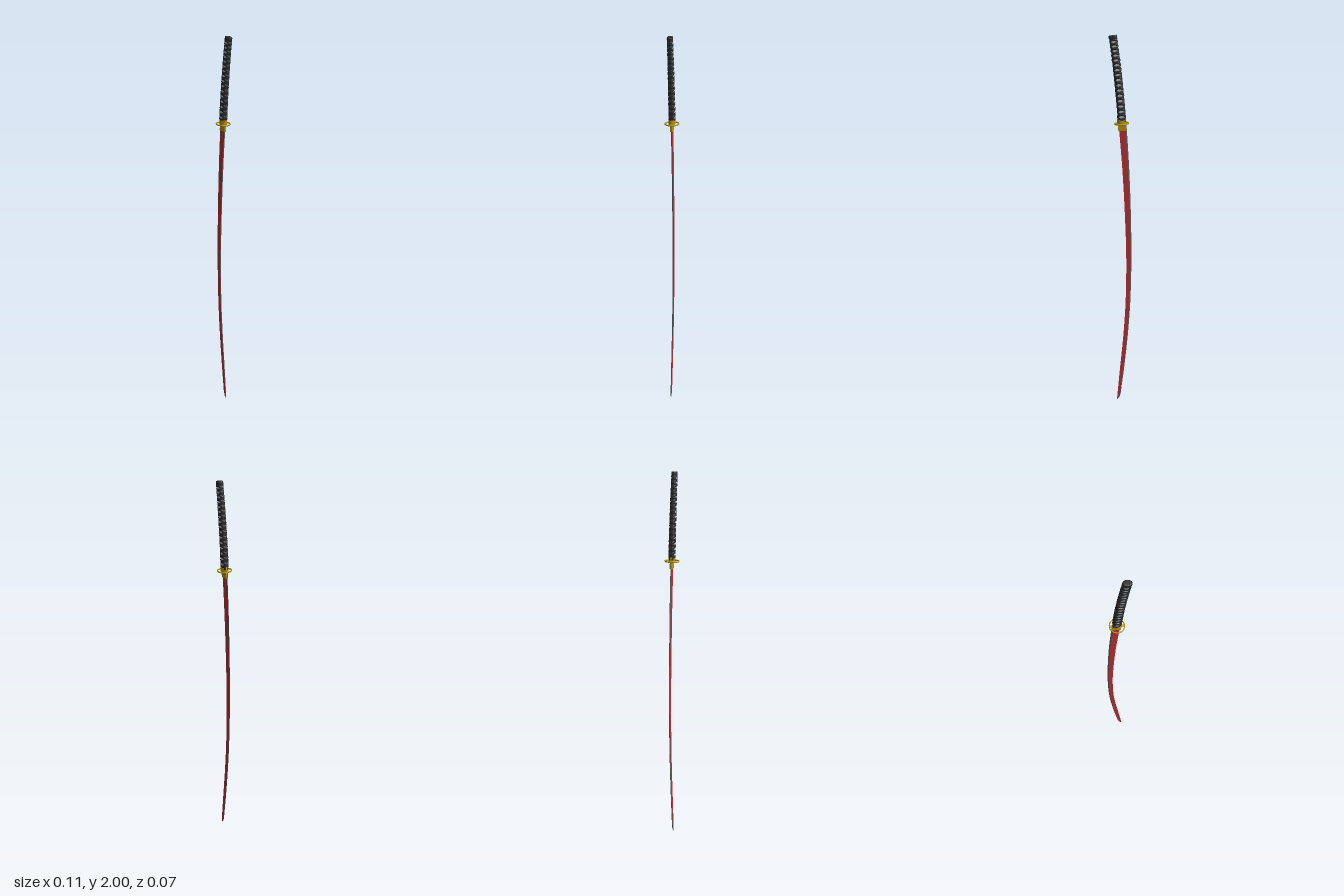
import * as THREE from 'three';

const paint = (color) => new THREE.MeshStandardMaterial({ color, side: THREE.DoubleSide });
const V = (x, y, z = 0) => new THREE.Vector3(x, y, z);

// Surface through rows of points; normals face (row direction x column direction)
function loft(name, rows, material) {
  const cols = rows[0].length, index = [];
  for (let i = 0; i < rows.length - 1; i++) {
    for (let j = 0; j < cols - 1; j++) {
      const a = i * cols + j, b = a + cols;
      index.push(a, b, a + 1, b, b + 1, a + 1);
    }
  }
  const geometry = new THREE.BufferGeometry().setFromPoints(rows.flat());
  geometry.setIndex(index);
  geometry.computeVertexNormals();
  const mesh = new THREE.Mesh(geometry, material);
  mesh.name = name;
  return mesh;
}

const range = (n, f) => Array.from({ length: n + 1 }, (_, i) => f(i / n));

// Handle centre line and its oval section
const handleLine = new THREE.CatmullRomCurve3([
  V(-0.009, 1.575), V(0.0, 1.69), V(0.011, 1.8), V(0.023, 1.9), V(0.036, 1.993)]);

function handlePoint(t, angle, extra = 0, scale = 1) {
  const tc = THREE.MathUtils.clamp(t, 0, 1);
  const p = handleLine.getPoint(tc), d = handleLine.getTangent(tc);
  const c = Math.cos(angle), s = Math.sin(angle);
  const hx = THREE.MathUtils.lerp(0.0195, 0.018, tc) + extra;
  const hz = THREE.MathUtils.lerp(0.0145, 0.0115, tc) + extra;
  const u = Math.sign(c) * Math.abs(c) ** 0.8 * hx * scale;
  const w = Math.sign(s) * Math.abs(s) ** 0.8 * hz * scale;
  return V(p.x + d.y * u, p.y - d.x * u, w);
}

const ovalRow = (t, extra, scale) => range(40, (k) => handlePoint(t, k * Math.PI * 2, extra, scale));

function makeHandle() {
  const group = new THREE.Group();
  group.name = 'handle';
  const dark = paint(0x2b2c2e), light = paint(0xb4b4b4);
  group.add(loft('handleCore', range(30, (t) => ovalRow(t, 0, 1)), dark));

  // Pale panels seen through the wrapping on both faces
  for (const side of [1, -1]) {
    group.add(loft('handlePanel', range(30, (t) => range(8, (k) =>
      handlePoint(0.02 + t * 0.94, side * Math.PI / 2 + (k - 0.5) * 1.1, 0.0006))), light));
  }

  // Crossing wrap ribbons
  const turns = 8, half = 0.017;
  const section = [[-1, -0.0005], [-0.8, 0.0016], [0, 0.0026], [0.8, 0.0016], [1, -0.0005]];
  for (const dir of [1, -1]) {
    for (const start of [0, Math.PI]) {
      group.add(loft('wrapRibbon', range(turns * 32, (k) => section.map(([w, lift]) =>
        handlePoint(0.03 + k * 0.92 + w * half,
          Math.PI / 2 + start + dir * k * turns * Math.PI * 2, lift))), dark));
    }
  }

  // Rounded end cap
  const cap = [[0.955, 0, 1], [0.955, 0.0024, 1], [0.985, 0.0024, 1], [0.996, 0.0018, 1],
    [1, 0.001, 0.94], [1, 0, 0.6], [1, 0, 0]];
  group.add(loft('endCap', cap.map((c) => ovalRow(...c)), dark));
  return group;
}

function makeGuard() {
  const group = new THREE.Group();
  group.name = 'guard';
  const gold = paint(0xb8960f);
  const add = (name, geometry, x, y, z) => {
    const mesh = new THREE.Mesh(geometry, gold);
    mesh.name = name;
    mesh.position.set(x, y, z);
    group.add(mesh);
    return mesh;
  };
  const ring = add('guardRing', new THREE.TorusGeometry(0.0345, 0.0027, 10, 48), 0, 0, 0);
  ring.rotation.x = Math.PI / 2;
  ring.scale.z = 1.3;
  for (const side of [1, -1]) {
    add('guardSpoke', new THREE.BoxGeometry(0.017, 0.005, 0.009), side * 0.0265, 0, 0);
  }
  // Oval collars above and below the ring
  for (const [name, r, h, y] of [['handleCollar', 0.0218, 0.02, 0.012], ['guardPlate', 0.0225, 0.006, 0]]) {
    add(name, new THREE.CylinderGeometry(r, r, h, 36), 0, y, 0).scale.z = 0.76;
  }
  add('bladeCollar', new THREE.BoxGeometry(0.04, 0.036, 0.01), -0.001, -0.019, 0);
  group.position.set(-0.0075, 1.568, 0);
  group.rotation.z = -0.065;
  return group;
}

function makeBlade() {
  const group = new THREE.Group();
  group.name = 'blade';
  const red = paint(0xbf3033), steel = paint(0x5a5a5c);
  // Cutting edge on the convex side, spine on the other
  const edge = new THREE.CatmullRomCurve3([
    V(-0.031, 1.57), V(-0.045, 1.35), V(-0.055, 1.1), V(-0.059, 0.85),
    V(-0.054, 0.6), V(-0.041, 0.4), V(-0.0215, 0.2), V(-0.003, 0.045)]);
  const spine = new THREE.CatmullRomCurve3([
    V(0.008, 1.57), V(-0.010, 1.35), V(-0.024, 1.1), V(-0.032, 0.85),
    V(-0.029, 0.6), V(-0.017, 0.4), V(0.001, 0.2), V(0.0145, 0.045)]);
  const pairs = range(56, (t) => [edge.getPoint(t), spine.getPoint(t), 0.0028]);
  // Slanted point
  pairs.push([V(0.0, 0.029), V(0.0155, 0.03), 0.0022],
    [V(0.006, 0.014), V(0.017, 0.016), 0.0014], [V(0.018, 0), V(0.0182, 0), 0.0002]);

  const ridge = ([e, s, h], side) => e.clone().lerp(s, 0.2).setZ(side * h);
  const back = ([, s, h], side) => s.clone().setZ(side * h * 0.9);
  for (const side of [1, -1]) {
    const order = (a, b) => (side > 0 ? [a, b] : [b, a]);
    group.add(loft('bladeFlat', pairs.map((p) => order(ridge(p, side), back(p, side))), red));
    group.add(loft('cuttingBevel', pairs.map((p) => order(p[0].clone(), ridge(p, side))), steel));
  }
  group.add(loft('bladeSpine', pairs.map((p) => [back(p, 1), back(p, -1)]), steel));
  return group;
}

export function createModel() {
  const model = new THREE.Group();
  model.name = 'curvedSword';
  model.add(makeBlade(), makeGuard(), makeHandle());
  return model;
}
